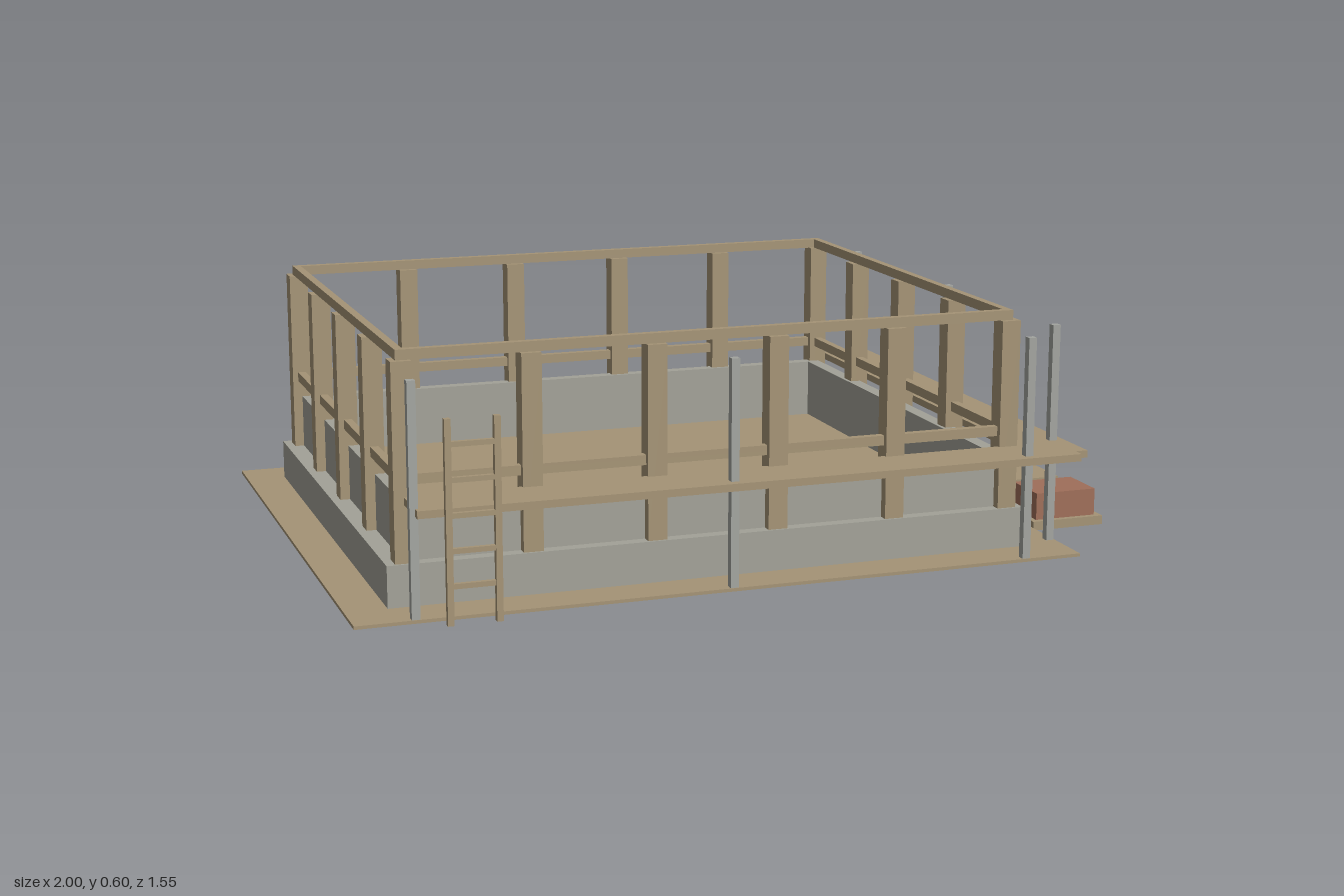
import * as THREE from 'three';

const mat = (name, color) => new THREE.MeshStandardMaterial({ name, color });

export function createModel() {
  const timber = mat('timber', 0xa59476);
  const concrete = mat('concrete', 0xa3a298);
  const steel = mat('steel', 0xa3a5a0);
  const brick = mat('brick', 0xa06f5a);
  const model = new THREE.Group();
  model.name = 'buildingSite';

  const group = (name) => {
    const g = new THREE.Group();
    g.name = name;
    model.add(g);
    return g;
  };
  // Box given by its minimum and maximum on each axis
  const box = (parent, name, material, x0, x1, y0, y1, z0, z1) => {
    const m = new THREE.Mesh(new THREE.BoxGeometry(x1 - x0, y1 - y0, z1 - z0), material);
    m.position.set((x0 + x1) / 2, (y0 + y1) / 2, (z0 + z1) / 2);
    m.name = name;
    parent.add(m);
    return m;
  };
  // Rectangular ring, open in the middle
  const ring = (parent, name, material, outer, inner, y0, y1) => {
    const path = ([x0, x1, z0, z1], P) => {
      const p = new P();
      p.moveTo(x0, -z1);
      p.lineTo(x1, -z1);
      p.lineTo(x1, -z0);
      p.lineTo(x0, -z0);
      p.closePath();
      return p;
    };
    const s = path(outer, THREE.Shape);
    s.holes.push(path(inner, THREE.Path));
    const g = new THREE.ExtrudeGeometry(s, { depth: y1 - y0, bevelEnabled: false });
    g.rotateX(-Math.PI / 2);
    const m = new THREE.Mesh(g, material);
    m.position.y = y0;
    m.name = name;
    parent.add(m);
  };

  // Ground, footing, low wall and floor
  box(model, 'ground', timber, -1, 0.8, 0, 0.008, -0.775, 0.73);
  const inner = [-0.82, 0.62, -0.593, 0.545];
  const base = group('foundation');
  ring(base, 'footing', concrete, [-0.9, 0.695, -0.672, 0.625], inner, 0.002, 0.108);
  ring(base, 'lowWall', concrete, [-0.855, 0.655, -0.625, 0.595], inner, 0.108, 0.245);
  box(base, 'floor', timber, -0.82, 0.62, 0.008, 0.09, -0.593, 0.545);

  // Timber frame: posts on the wall centre line, top and middle rails
  const X0 = -0.855, X1 = 0.653, Z0 = -0.627, Z1 = 0.595;
  const frame = group('timberFrame');
  const post = (x, z) =>
    box(frame, 'post', timber, x - 0.024, x + 0.024, 0.108, 0.575, z - 0.024, z + 0.024);
  for (let i = 0; i <= 5; i++) {
    for (const z of [Z0, Z1]) post(X0 + ((X1 - X0) * i) / 5, z);
  }
  for (let i = 1; i < 4; i++) {
    for (const x of [X0, X1]) post(x, Z0 + ((Z1 - Z0) * i) / 4);
  }
  const r = 0.01;
  for (const [name, y0, y1] of [['topRail', 0.575, 0.599], ['middleRail', 0.288, 0.312]]) {
    ring(frame, name, timber, [X0 - r, X1 + r, Z0 - r, Z1 + r],
      [X0 + r, X1 - r, Z0 + r, Z1 - r], y0, y1);
  }

  // Scaffold: decks along the front and left side, with steel poles
  const scaffold = group('scaffold');
  box(scaffold, 'frontDeck', timber, -0.855, 0.785, 0.245, 0.263, 0.61, 0.748);
  box(scaffold, 'sideDeck', timber, 0.68, 0.817, 0.245, 0.263, -0.63, 0.718);
  const pole = (x, z) =>
    box(scaffold, 'pole', steel, x - 0.01, x + 0.01, 0, 0.553, z - 0.01, z + 0.01);
  for (const x of [-0.858, -0.1, 0.655]) pole(x, 0.718);
  for (const z of [-0.632, -0.022, 0.588]) pole(0.787, z);

  // Ladder leaning place at the front
  const ladder = group('ladder');
  for (const x of [-0.797, -0.684]) {
    box(ladder, 'ladderRail', timber, x, x + 0.015, 0, 0.472, 0.76, 0.775);
  }
  for (let i = 0; i < 5; i++) {
    const y = 0.09 + i * 0.081;
    box(ladder, 'rung', timber, -0.785, -0.68, y - 0.006, y + 0.006, 0.762, 0.773);
  }

  // Stacked planks
  const planks = group('plankStack');
  for (let i = 0; i < 3; i++) {
    const y = i * 0.0245;
    box(planks, 'plank', timber, 0.803, 0.998, y, y + 0.02, -0.118, 0.237);
  }

  // Bricks on a pallet
  const pallet = group('brickPallet');
  box(pallet, 'pallet', timber, 0.802, 0.998, 0, 0.023, 0.32, 0.48);
  box(pallet, 'brickPile', brick, 0.817, 0.982, 0.023, 0.092, 0.335, 0.465);

  // Barrel
  const barrel = new THREE.Mesh(new THREE.CylinderGeometry(0.047, 0.047, 0.099, 24), brick);
  barrel.position.set(0.9, 0.0495, -0.25);
  barrel.name = 'barrel';
  model.add(barrel);

  return model;
}
